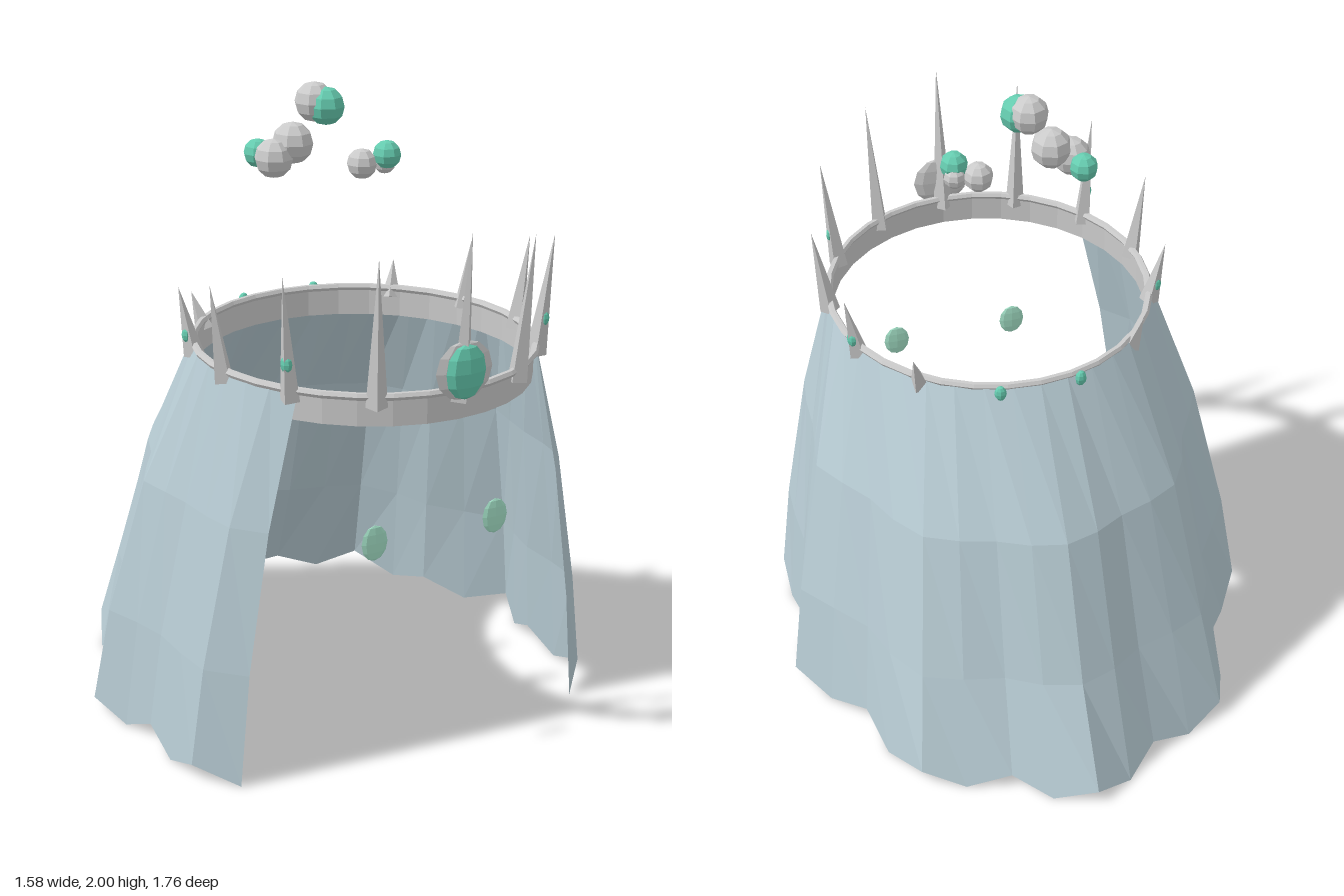
import * as THREE from 'three';

const CZ = 0.285, RX = 0.515, RZ = 0.54; // oval of the crown
const mat = (color, side = THREE.FrontSide) =>
  new THREE.MeshStandardMaterial({ color, flatShading: true, side });
const GREY = mat(0xcccccc);
const CLOTH = mat(0xb8ccd4, THREE.DoubleSide);
const TEAL = mat(0x66ccb0);
const MINT = mat(0xa8e6cc);

// Point on the crown oval; angle measured from the front
const onOval = (a, y, out = 0) =>
  new THREE.Vector3(Math.sin(a) * (RX + out), y, CZ + Math.cos(a) * (RZ + out));

function add(group, name, geometry, material) {
  const m = new THREE.Mesh(geometry, material);
  m.name = name;
  group.add(m);
  return m;
}

function ball(group, name, pos, size, material, turn = 0) {
  const m = add(group, name, new THREE.SphereGeometry(1, 8, 6), material);
  m.position.set(...pos);
  m.scale.set(...size);
  m.rotation.y = turn;
  return m;
}

// Cloak: folded hem lofted up to the oval neckline, open at the front
function cloakGeometry() {
  const half = [ // hem x, z from the middle of the back to the front edge
    [0, -0.88], [0.13, -0.82], [0.24, -0.73], [0.38, -0.69], [0.51, -0.63],
    [0.58, -0.47], [0.61, -0.31], [0.70, -0.18], [0.79, -0.05], [0.74, 0.08],
    [0.71, 0.20], [0.715, 0.35], [0.71, 0.49], [0.60, 0.60],
  ];
  const n = half.length - 1, cols = 2 * n + 1;
  const heights = [1.24, 0.81, 0.365, 0];
  const pos = [], idx = [];
  heights.forEach((h, r) => {
    for (let c = -n; c <= n; c++) {
      const k = Math.abs(c), s = k / n, side = Math.sign(c);
      const top = onOval(Math.PI - s * THREE.MathUtils.degToRad(127.5), h);
      const side01 = Math.min(1, s * 1.6);
      const f = [0, 0.45 + 0.05 * side01, 0.72 + 0.12 * side01, 1][r];
      const [x, z] = half[k];
      const y = r === 3 ? (k % 2 ? 0.005 : 0.055) : h;
      pos.push(side * THREE.MathUtils.lerp(top.x, x, f), y, THREE.MathUtils.lerp(top.z, z, f));
    }
  });
  for (let r = 0; r < heights.length - 1; r++)
    for (let c = 0; c < cols - 1; c++) {
      const a = r * cols + c, b = a + cols;
      idx.push(a, a + 1, b, a + 1, b + 1, b);
    }
  const g = new THREE.BufferGeometry();
  g.setAttribute('position', new THREE.Float32BufferAttribute(pos, 3));
  g.setIndex(idx);
  g.computeVertexNormals();
  return g;
}

export function createModel() {
  const root = new THREE.Group();
  root.name = 'crownedCloak';

  add(root, 'cloak', cloakGeometry(), CLOTH);

  // Crown: band and thin rim
  const crown = new THREE.Group();
  crown.name = 'crown';
  root.add(crown);
  const band = add(crown, 'crownBand', new THREE.CylinderGeometry(1, 1, 0.09, 32, 1, true),
    mat(0xcccccc, THREE.DoubleSide));
  band.scale.set(RX - 0.006, 1, RZ - 0.006);
  band.position.set(0, 1.185, CZ);
  const rim = add(crown, 'crownRim', new THREE.TorusGeometry(RX, 0.012, 6, 32).rotateX(Math.PI / 2), GREY);
  rim.scale.z = RZ / RX;
  rim.position.set(0, 1.232, CZ);

  // Spikes, tallest at the front, with a small gem on every second one
  const tips = [1.71, 1.65, 1.58, 1.5, 1.42, 1.325];
  const gemY = { 2: 1.315, 4: 1.265, 6: 1.222 };
  for (let i = -6; i <= 6; i++) {
    const k = Math.abs(i), a = i * 2 * Math.PI / 13;
    if (k < 6) {
      const h = tips[k] - 1.2;
      const spike = add(crown, 'spike', new THREE.ConeGeometry(0.032, h, 4).translate(0, h / 2, 0), GREY);
      spike.position.copy(onOval(a, 1.2));
      spike.rotation.set(Math.atan(0.045 / h), a, 0, 'YXZ');
    }
    if (gemY[k])
      ball(crown, 'spikeGem', onOval(a, gemY[k], 0.022).toArray(), [0.019, 0.026, 0.015], TEAL, a);
  }

  // Large front gem in its setting
  ball(crown, 'gemSetting', [0, 1.295, 0.843], [0.095, 0.09, 0.016], GREY);
  ball(crown, 'frontGem', [0, 1.293, 0.853], [0.068, 0.083, 0.026], TEAL);

  // Floating eyes
  for (const s of [-1, 1])
    ball(root, 'eye', [s * 0.21, 0.757, 0.71], [0.044, 0.056, 0.008], MINT);

  // Floating orbs: x, y, z, radius, material
  [
    [-0.083, 1.94, 0.125, 0.061, GREY], [-0.15, 1.82, 0.113, 0.064, GREY],
    [-0.215, 1.78, 0.113, 0.06, GREY], [0.07, 1.737, 0.148, 0.047, GREY],
    [0.14, 1.737, 0.165, 0.035, GREY], [-0.06, 1.93, 0.155, 0.058, TEAL],
    [-0.228, 1.782, 0.035, 0.044, TEAL], [0.135, 1.767, 0.188, 0.044, TEAL],
  ].forEach(([x, y, z, r, m]) => ball(root, 'orb', [x, y, z], [r, r, r], m));

  return root;
}
